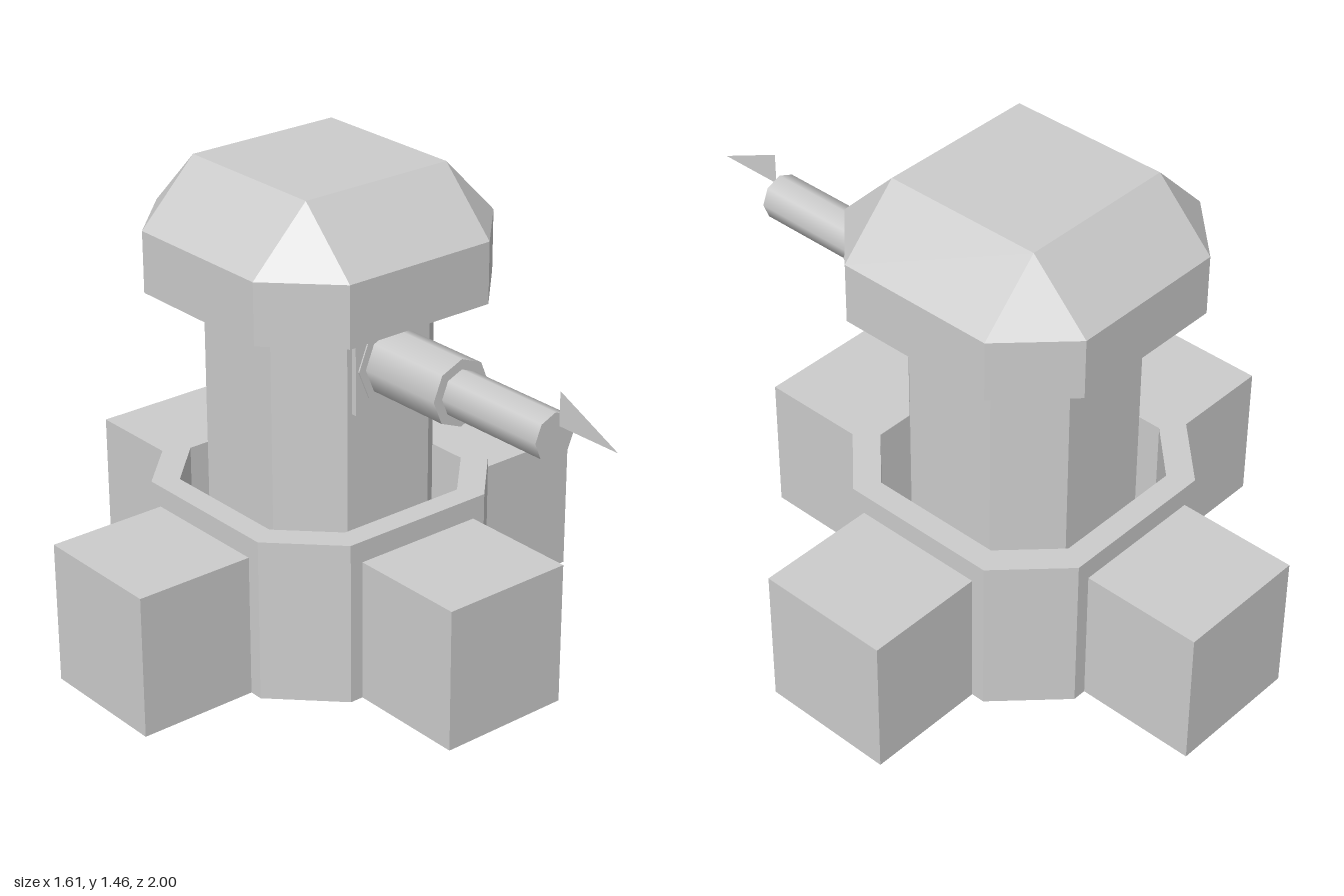
import * as THREE from 'three';

const CZ = -0.195; // z of the tower axis
const FLOOR = 0.035; // height of the floor inside the base
const material = new THREE.MeshStandardMaterial({ color: 0xcccccc, flatShading: true, side: THREE.DoubleSide });
const smooth = new THREE.MeshStandardMaterial({ color: 0xcccccc });

// Eight corners of a chamfered square: half width r, half flat-edge length c
function ring([r, c, y]) {
  return [[r, c], [c, r], [-c, r], [-r, c], [-r, -c], [-c, -r], [c, -r], [r, -c]]
    .map(([x, z]) => new THREE.Vector3(x, y, z));
}

// Joins successive eight-cornered sections [r, c, y] with flat faces
function octagonLoft(sections) {
  const rings = sections.map(ring);
  const points = [];
  const tri = (a, b, c) => {
    if (new THREE.Triangle(a, b, c).getArea() > 1e-7) points.push(a, b, c);
  };
  for (let k = 0; k + 1 < rings.length; k++) {
    for (let i = 0; i < 8; i++) {
      const j = (i + 1) % 8;
      tri(rings[k][i], rings[k + 1][i], rings[k][j]);
      tri(rings[k][j], rings[k + 1][i], rings[k + 1][j]);
    }
  }
  const geometry = new THREE.BufferGeometry().setFromPoints(points);
  geometry.computeVertexNormals();
  return geometry;
}

// Box without its bottom face
function openBox(width, height, depth) {
  const geometry = new THREE.BoxGeometry(width, height, depth);
  const bottom = geometry.groups[3];
  geometry.setIndex([...geometry.index.array]
    .filter((_, i) => i < bottom.start || i >= bottom.start + bottom.count));
  geometry.clearGroups();
  return geometry;
}

export function createModel() {
  const model = new THREE.Group();
  model.name = 'gunTower';

  const add = (name, geometry, x, y, z, mat = material) => {
    const mesh = new THREE.Mesh(geometry, mat);
    mesh.name = name;
    mesh.position.set(x, y, z);
    model.add(mesh);
  };

  // Hollow base with a rim and a floor, open under the rim
  add('base', octagonLoft([
    [0.433, 0.25, 0], [0.433, 0.25, 0.5], [0.36, 0.21, 0.5], [0.36, 0.21, FLOOR], [0.3, 0.15, FLOOR],
  ]), 0, 0, CZ);

  // Column rising from the base floor
  add('column', octagonLoft([
    [0, 0, FLOOR], [0.3, 0.15, FLOOR], [0.3, 0.15, 1.09],
  ]), 0, 0, CZ);

  // Cap: octagonal band sloping up to a square top
  add('cap', octagonLoft([
    [0, 0, 1.09], [0.433, 0.25, 1.09], [0.433, 0.25, 1.275], [0.25, 0.25, 1.46], [0, 0, 1.46],
  ]), 0, 0, CZ);

  // Four blocks around the base, open underneath
  const size = 0.416;
  const reach = 0.805 - size / 2;
  ['left', 'front', 'right', 'back'].forEach((side, i) => {
    const angle = i * Math.PI / 2;
    add(side + 'Block', openBox(size, 0.435, size),
      Math.cos(angle) * reach, 0.2175, CZ + Math.sin(angle) * reach);
  });

  // Gun: mounting plate, flange and two-stage barrel
  const gunY = 0.949;
  add('gunPlate', new THREE.BoxGeometry(0.265, 0.26, 0.025), 0, gunY, 0.108);
  const tube = (name, radius, z0, z1, mat) => {
    const geometry = new THREE.CylinderGeometry(radius, radius, z1 - z0, 8);
    geometry.rotateX(Math.PI / 2);
    add(name, geometry, 0, gunY, (z0 + z1) / 2, mat);
  };
  tube('gunFlange', 0.124, 0.11, 0.125, material);
  tube('barrelSleeve', 0.1, 0.12, 0.407, smooth);
  tube('barrel', 0.07, 0.38, 0.77, smooth);

  // Thin upright triangular sight ahead of the muzzle
  const sight = new THREE.BufferGeometry().setFromPoints([
    new THREE.Vector3(0, 0.985, 1), new THREE.Vector3(0, 0.985, 0.785), new THREE.Vector3(0, 1.085, 0.785),
  ]);
  sight.computeVertexNormals();
  add('sightFin', sight, 0, 0, 0);

  return model;
}
